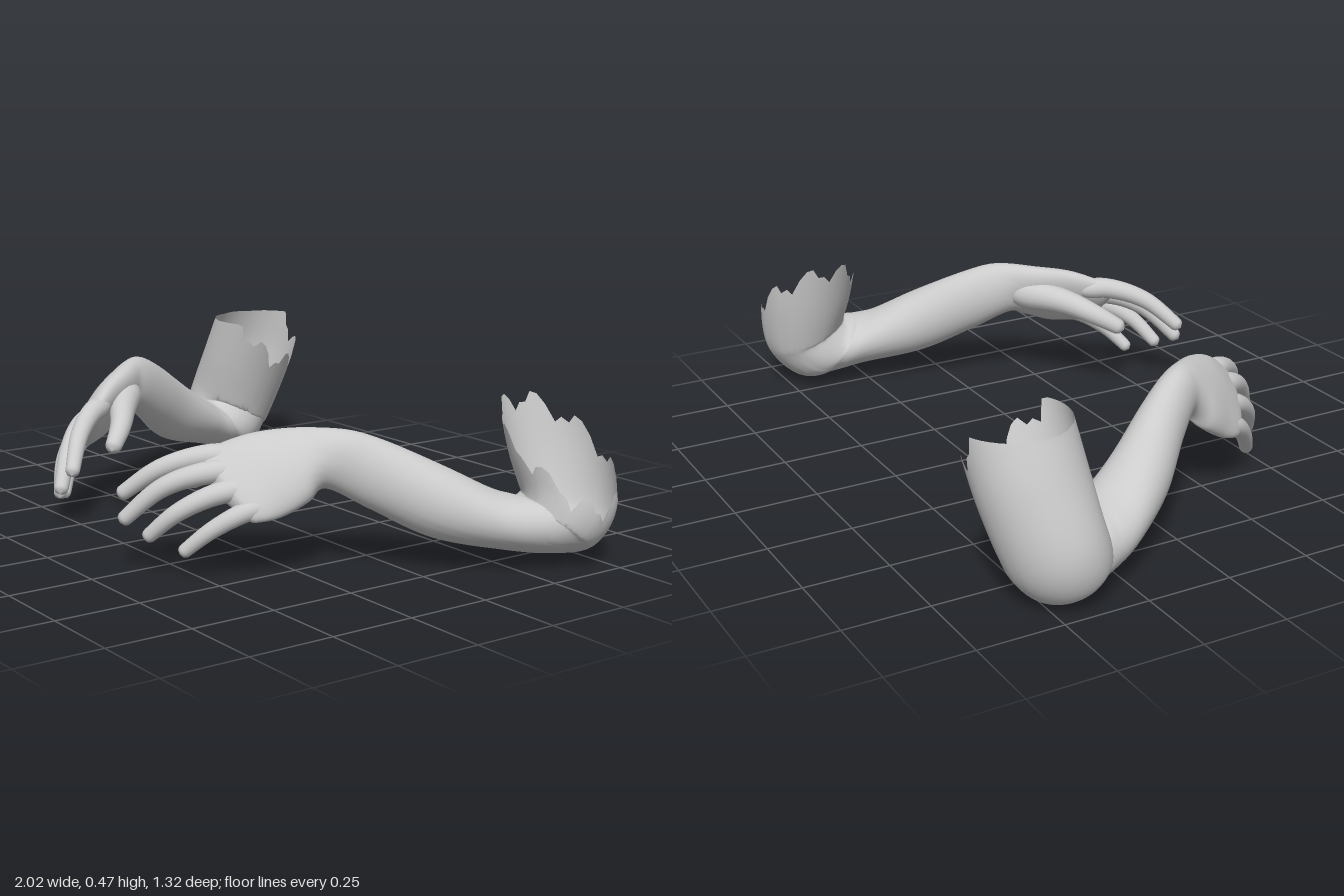
import * as THREE from 'three';

const V = (x, y, z) => new THREE.Vector3(x, y, z);
const SIDES = 48;
const skin = new THREE.MeshStandardMaterial({ color: 0xcccccc, side: THREE.DoubleSide });

// Closed-round surface from a rule point(f, j); side -1 mirrors it in x
function roundSkin(name, rows, cols, side, point) {
  const pos = [], index = [];
  for (let i = 0; i <= rows; i++) {
    for (let j = 0; j < cols; j++) {
      const p = point(i / rows, j);
      pos.push(p.x * side, p.y, p.z);
    }
  }
  for (let i = 0; i < rows; i++) {
    for (let j = 0; j < cols; j++) {
      const k = (j + 1) % cols;
      const a = i * cols + j, b = a + cols, c = i * cols + k, d = c + cols;
      if (side > 0) index.push(a, b, c, b, d, c);
      else index.push(a, c, b, b, c, d);
    }
  }
  const geo = new THREE.BufferGeometry();
  geo.setAttribute('position', new THREE.Float32BufferAttribute(pos, 3));
  geo.setIndex(index);
  geo.computeVertexNormals();
  const mesh = new THREE.Mesh(geo, skin);
  mesh.name = name;
  return mesh;
}

// Tapered finger along a curve, rounded at both ends
function finger(name, points, r0, r1, side) {
  const curve = new THREE.CatmullRomCurve3(points);
  const rows = 48, cols = 18;
  const { normals, binormals } = curve.computeFrenetFrames(rows, false);
  const length = curve.getLength();
  const dome = (d, reach) => (d < reach ? Math.sqrt(Math.max(0.0001, 1 - (1 - d / reach) ** 2)) : 1);
  return roundSkin(name, rows, cols, side, (f, j) => {
    const i = Math.round(f * rows), a = j / cols * Math.PI * 2;
    const r = (r0 + (r1 - r0) * f) * dome((1 - f) * length, r1) * dome(f * length, r0 * 2);
    return curve.getPointAt(f)
      .addScaledVector(normals[i], r * Math.cos(a))
      .addScaledVector(binormals[i], -r * Math.sin(a));
  });
}

// Both arms are laid out on the +x side; t runs along the forearm, k outwards
function buildArm(name, { side, elbow, sleeve, forearmY, handMap, rim }) {
  const arm = new THREE.Group();
  arm.name = name;
  const P = (t, y, k) => V(elbow.x - 0.466 * t + 0.885 * k, y, elbow.z + 0.885 * t + 0.466 * k);

  // Cross-sections: inner point, outer point, half width
  const sections = [];
  const add = (a, b, w) => sections.push({ a, b, w: V(w, 0, 0) });
  // each row: inner t, inner y, outer t, outer y, k, half width
  for (const [ta, ya, tb, yb, k, w] of sleeve) add(P(ta, ya, k), P(tb, yb, k), w);
  [
    [0.12, 0.21, -0.14, 0.13, 0.005, 0.147],
    [0.125, 0.19, -0.06, 0.03, 0.008, 0.134],
    [0.16, 0.20, 0.05, 0.025, 0.022, 0.12],
    [0.22, 0.22, 0.18, 0.045, 0.032, 0.11],
    [0.35, 0.285, 0.38, 0.085, 0.03, 0.091],
    [0.52, 0.36, 0.55, 0.165, 0.008, 0.067],
    [0.63, 0.39, 0.67, 0.225, 0, 0.055],
  ].forEach(([ta, ya, tb, yb, k, w]) => add(P(ta, forearmY(ya, ta), k), P(tb, forearmY(yb, tb), k), w));
  // palm, from the heel to the knuckles
  [
    [[0.455, 0.385, 0.22], [0.565, 0.205, 0.25], 0.055],
    [[0.39, 0.37, 0.33], [0.555, 0.175, 0.325], 0.051],
    [[0.335, 0.33, 0.43], [0.54, 0.165, 0.39], 0.041],
    [[0.335, 0.31, 0.46], [0.51, 0.17, 0.42], 0.03],
    [[0.41, 0.24, 0.46], [0.415, 0.235, 0.46], 0.001],
  ].forEach(([a, b, w]) => add(handMap(...a), handMap(...b), w));

  const [A, B, W] = ['a', 'b', 'w'].map(
    (key) => new THREE.CatmullRomCurve3(sections.map((s) => s[key]), false, 'catmullrom', 0.5));
  const last = sections.length - 1;
  const centre = (s) => {
    const f = THREE.MathUtils.clamp(s / last, 0, 1);
    return A.getPoint(f).add(B.getPoint(f)).multiplyScalar(0.5);
  };
  const surface = (s, angle) => {
    const c = centre(s);
    const u = A.getPoint(s / last).sub(c);
    const along = centre(s + 0.02).sub(centre(s - 0.02));
    const v = u.clone().cross(along).normalize();
    const w = Math.max(0.001, W.getPoint(s / last).x);
    return c.addScaledVector(u, Math.cos(angle)).addScaledVector(v, w * Math.sin(angle));
  };

  // Torn rim: find where each column drops below the rim height
  const teeth = [0, 0, 0.035, 0.035, 0.06, 0.02];
  const starts = [];
  for (let j = 0; j < SIDES; j++) {
    const angle = j / SIDES * Math.PI * 2;
    const height = rim(angle, teeth[j % teeth.length]);
    let s = 0;
    while (s < 2.2 && surface(s, angle).y > height) s += 0.02;
    starts.push(s);
  }
  arm.add(roundSkin('armAndPalm', 90, SIDES, side,
    (f, j) => surface(starts[j] + (last - starts[j]) * f, j / SIDES * Math.PI * 2)));

  // Fingers, rooted inside the palm
  const digits = {
    thumb: [[[0.53, 0.29, 0.17], [0.45, 0.295, 0.235], [0.37, 0.285, 0.295], [0.285, 0.258, 0.355], [0.225, 0.212, 0.43]], 0.056, 0.024],
    indexFinger: [[[0.395, 0.31, 0.35], [0.35, 0.315, 0.44], [0.275, 0.28, 0.54], [0.185, 0.195, 0.625]], 0.037, 0.021],
    middleFinger: [[[0.43, 0.275, 0.34], [0.39, 0.28, 0.46], [0.32, 0.24, 0.56], [0.235, 0.135, 0.65]], 0.037, 0.021],
    ringFinger: [[[0.475, 0.235, 0.33], [0.445, 0.235, 0.45], [0.385, 0.185, 0.55], [0.305, 0.098, 0.615]], 0.036, 0.02],
    littleFinger: [[[0.52, 0.205, 0.31], [0.505, 0.19, 0.41], [0.455, 0.14, 0.49], [0.39, 0.065, 0.555]], 0.033, 0.019],
  };
  for (const [digit, [pts, r0, r1]] of Object.entries(digits)) {
    arm.add(finger(digit, pts.map((p) => handMap(...p)), r0, r1, side));
  }
  return arm;
}

export function createModel() {
  const model = new THREE.Group();
  model.name = 'armPair';

  model.add(buildArm('leftArm', {
    side: 1,
    elbow: V(0.85, 0, -0.42),
    sleeve: [
      [0.18, 0.47, -0.12, 0.47, -0.06, 0.145],
      [0.15, 0.31, -0.145, 0.30, -0.025, 0.15],
    ],
    forearmY: (y) => y,
    handMap: V,
    rim: (a, tooth) => 0.325 + 0.06 * Math.cos(a) - 0.11 * Math.sin(a) - tooth,
  }));

  // The right hand bends down more and reaches less far forward
  model.add(buildArm('rightArm', {
    side: -1,
    elbow: V(0.86, 0, -0.45),
    sleeve: [
      [0.16, 0.48, -0.165, 0.48, -0.13, 0.145],
      [0.14, 0.32, -0.17, 0.30, -0.06, 0.148],
    ],
    forearmY: (y, t) => y - 0.02 + 0.08 * t,
    handMap: (x, y, z) => V(
      0.57 + (x - 0.547) * 0.94,
      y + 0.03 - 0.15 * (z - 0.155),
      0.14 + (z - 0.155) * 0.8 + 0.1 * (0.42 - x)),
    rim: (a, tooth) => Math.min(0.47, 0.5 + 0.15 * Math.sin(a) - tooth),
  }));
  return model;
}
